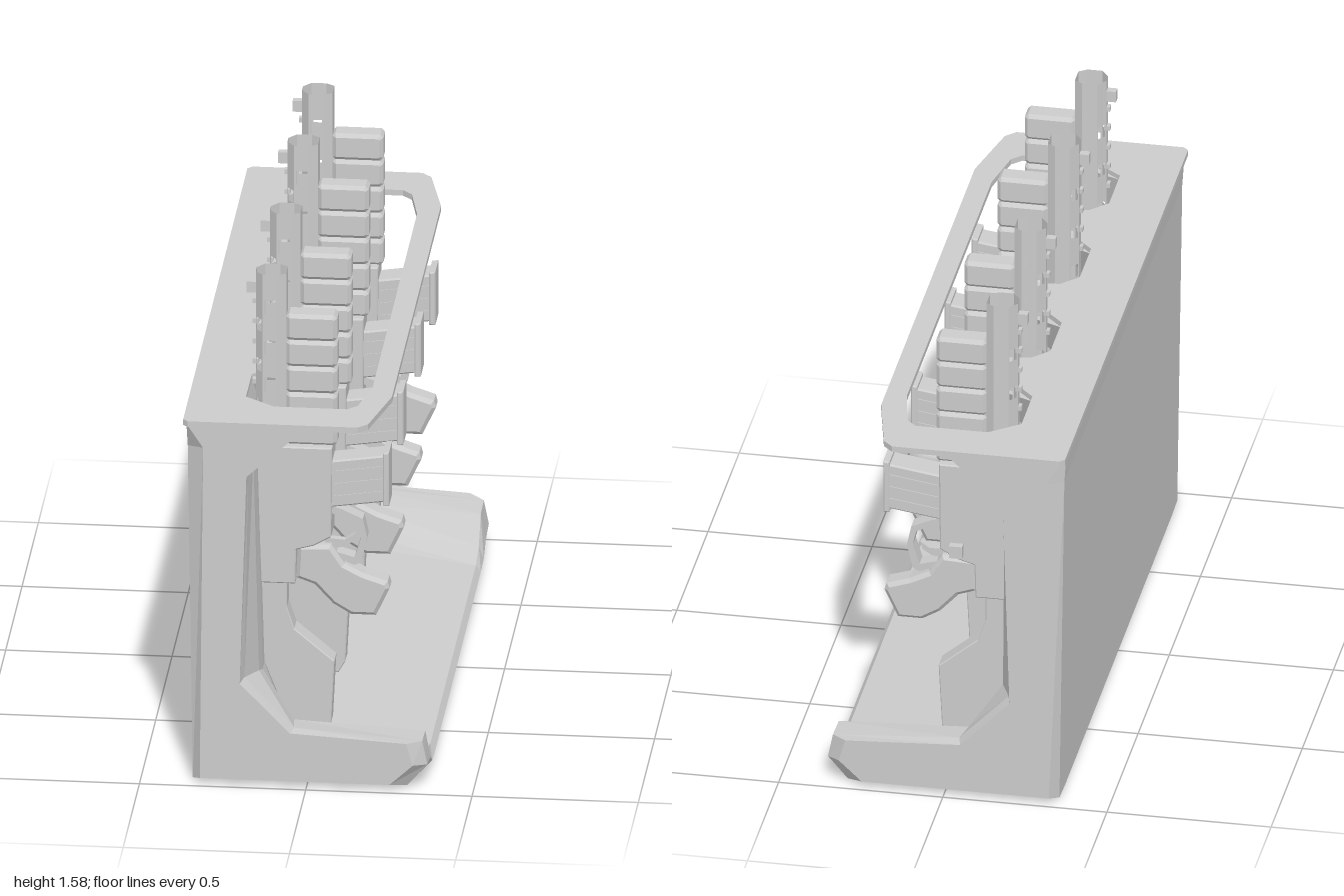
import * as THREE from 'three';
import { ConvexGeometry } from 'three/addons/geometries/ConvexGeometry.js';

const material = new THREE.MeshStandardMaterial({ color: 0xcccccc, flatShading: true });
const thin = new THREE.MeshStandardMaterial({ color: 0xcccccc, flatShading: true, side: THREE.DoubleSide });

function part(parent, name, geometry, mat = material) {
  const mesh = new THREE.Mesh(geometry, mat);
  mesh.name = name;
  parent.add(mesh);
}

const outline = (pts) => new THREE.Shape(pts.map(([x, y]) => new THREE.Vector2(x, y)));

// side profile in x,y given a thickness along z, with chamfered edges
function slab(pts, half, bevel = 0.008) {
  const g = new THREE.ExtrudeGeometry(outline(pts), {
    depth: 2 * (half - bevel), bevelEnabled: bevel > 0, bevelThickness: bevel,
    bevelSize: bevel, bevelOffset: -bevel, bevelSegments: 1,
  });
  return g.translate(0, 0, -(half - bevel));
}

function box(x0, x1, y0, y1, z0, z1) {
  return new THREE.BoxGeometry(x1 - x0, y1 - y0, z1 - z0)
    .translate((x0 + x1) / 2, (y0 + y1) / 2, (z0 + z1) / 2);
}

// skin between cross-sections { z, pts } running from +z to -z
function loft(sections) {
  const pos = [];
  const n = sections[0].pts.length;
  const put = (s, j) => pos.push(...s.pts[j % n], s.z);
  for (let i = 0; i < sections.length - 1; i++) {
    const s = sections[i], t = sections[i + 1];
    for (let j = 0; j < n; j++) {
      put(s, j); put(t, j); put(t, j + 1);
      put(s, j); put(t, j + 1); put(s, j + 1);
    }
  }
  const first = sections[0], last = sections[sections.length - 1];
  const faces = THREE.ShapeUtils.triangulateShape(first.pts.map(([x, y]) => new THREE.Vector2(x, y)), []);
  for (const [a, b, c] of faces) {
    put(first, a); put(first, b); put(first, c);
    put(last, c); put(last, b); put(last, a);
  }
  const g = new THREE.BufferGeometry();
  g.setAttribute('position', new THREE.Float32BufferAttribute(pos, 3));
  g.computeVertexNormals();
  return g;
}

function buildRack() {
  const rack = new THREE.Group();
  rack.name = 'rack';

  // body: side cheek, raised foot, then the open middle
  const half = [
    { z: 0.985, pts: [[-0.32, 0.02], [0.25, 0.02], [0.32, 0.085], [0.3, 0.155], [-0.05, 0.175],
      [-0.2, 0.33], [-0.18, 1.0], [0, 1.165], [-0.36, 1.165], [-0.31, 1.09]] },
    { z: 0.945, pts: [[-0.345, 0.005], [0.3, 0.005], [0.36, 0.075], [0.345, 0.15], [-0.04, 0.178],
      [-0.19, 0.335], [-0.178, 1.0], [0, 1.165], [-0.365, 1.165], [-0.36, 1.08]] },
    { z: 0.85, pts: [[-0.345, 0], [0.32, 0], [0.36, 0.06], [0.345, 0.145], [-0.05, 0.165],
      [-0.155, 0.32], [-0.172, 1.01], [-0.06, 1.165], [-0.365, 1.165], [-0.36, 1.08]] },
    { z: 0.79, pts: [[-0.345, 0], [0.32, 0], [0.36, 0.025], [0.345, 0.065], [-0.09, 0.11],
      [-0.15, 0.3], [-0.17, 1.02], [-0.2, 1.165], [-0.365, 1.165], [-0.36, 1.08]] },
    { z: 0.7, pts: [[-0.345, 0], [0.32, 0], [0.36, 0.02], [0.345, 0.04], [-0.1, 0.1],
      [-0.15, 0.3], [-0.17, 1.02], [-0.2, 1.165], [-0.365, 1.165], [-0.36, 1.08]] },
  ];
  const mirrored = half.map(({ z, pts }) => ({ z: -z, pts })).reverse();
  part(rack, 'rackBody', loft([...half, ...mirrored]));

  // top plate with a long opening, notched between the slots
  const plate = outline([[-0.37, -0.985], [-0.355, -1], [0.155, -1], [0.185, -0.97], [0.235, -0.75],
    [0.235, 0.75], [0.185, 0.97], [0.155, 1], [-0.355, 1], [-0.37, 0.985]]);
  const teeth = [-0.47, 0, 0.47];
  const tooth = [[-0.2, -0.145], [-0.15, -0.092], [-0.05, -0.08], [-0.03, -0.06],
    [-0.03, 0.06], [-0.05, 0.08], [-0.15, 0.092], [-0.2, 0.145]];
  const opening = [[-0.11, 0.86], [0.11, 0.86], [0.14, 0.83], [0.17, 0.68],
    [0.17, -0.68], [0.14, -0.83], [0.11, -0.86], [-0.11, -0.86], [-0.2, -0.79]];
  for (const c of teeth) for (const [x, y] of tooth) opening.push([x, y + c]);
  opening.push([-0.2, 0.79]);
  plate.holes.push(new THREE.Path(opening.map(([x, y]) => new THREE.Vector2(x, y))));
  part(rack, 'topPlate', new THREE.ExtrudeGeometry(plate, { depth: 0.018, bevelEnabled: false })
    .rotateX(-Math.PI / 2).translate(0, 1.162, 0));

  // tapered brackets below the teeth
  for (const c of teeth) {
    const pts = tooth.map(([x, z]) => new THREE.Vector3(x, 1.163, z + c));
    for (const s of [-1, 1]) {
      pts.push(new THREE.Vector3(-0.2, 1.02, c + s * 0.07), new THREE.Vector3(-0.168, 1.02, c + s * 0.06));
    }
    part(rack, 'bracket', new ConvexGeometry(pts));
  }
  return rack;
}

// flat barrel facet between two corners, optionally pierced by windows
function facet([x0, z0], [x1, z1], y0, y1, windows) {
  const w = Math.hypot(x1 - x0, z1 - z0);
  const shape = outline([[0, y0], [w, y0], [w, y1], [0, y1]]);
  for (const [a, b] of windows) {
    const path = [[0.12, a], [0.12, b], [0.88, b], [0.88, a]];
    shape.holes.push(new THREE.Path(path.map(([u, y]) => new THREE.Vector2(u * w, y))));
  }
  return new THREE.ShapeGeometry(shape).rotateY(-Math.atan2(z1 - z0, x1 - x0)).translate(x0, 0, z0);
}

function buildRifle() {
  const rifle = new THREE.Group();
  rifle.name = 'rifle';

  // hollow eight-sided barrel shroud with staggered windows
  const ring = [[-0.178, 0.015], [-0.155, 0.045], [-0.11, 0.045], [-0.085, 0.028],
    [-0.085, -0.028], [-0.11, -0.045], [-0.155, -0.045], [-0.178, -0.015]];
  const wide = [[1.18, 1.225], [1.3, 1.345], [1.43, 1.475]];
  const offset = [[1.11, 1.15], [1.24, 1.28], [1.37, 1.41]];
  ring.forEach((p, i) => {
    const windows = i === 1 || i === 5 ? wide : i === 0 || i === 6 ? offset : [];
    part(rifle, 'barrelShroud', facet(p, ring[(i + 1) % 8], 0.98, 1.557, windows), thin);
  });
  part(rifle, 'frontSight', box(-0.207, -0.165, 1.485, 1.52, -0.012, 0.012));
  for (let y = 1.19; y < 1.45; y += 0.065) {
    part(rifle, 'railStud', box(-0.188, -0.17, y, y + 0.015, -0.01, 0.01));
  }

  // ribbed foregrip
  for (let i = 0; i < 5; i++) {
    const y0 = 1.005 + i * 0.0845, y1 = y0 + 0.084;
    part(rifle, 'foregripSegment', slab([[-0.085, y0 + 0.008], [-0.077, y0], [0.058, y0], [0.068, y0 + 0.01],
      [0.068, y1 - 0.01], [0.058, y1], [-0.077, y1], [-0.085, y1 - 0.008]], 0.037, 0.011));
  }
  part(rifle, 'foregripCore', box(-0.09, 0.05, 1.0, 1.41, -0.025, 0.025));

  // receiver
  part(rifle, 'receiver', slab([[-0.16, 0.565], [-0.056, 0.565], [-0.053, 0.675], [0.0, 0.69], [0.052, 0.72],
    [0.055, 1.008], [-0.176, 1.008]], 0.057, 0.004));
  part(rifle, 'chargingHandle', box(-0.02, 0.02, 0.705, 0.745, -0.08, -0.04));

  // magazine with ribs and end plate
  part(rifle, 'magazine', slab([[0.04, 0.81], [0.215, 0.835], [0.215, 0.985], [0.04, 0.96]], 0.043, 0.005));
  part(rifle, 'magazineEnd', slab([[0.207, 0.825], [0.226, 0.825], [0.226, 0.998], [0.207, 0.995]], 0.05, 0.004));
  for (const y of [0.86, 0.9, 0.94]) {
    part(rifle, 'magazineRib', slab([[0.06, y - 0.016], [0.21, y + 0.006], [0.21, y + 0.012], [0.06, y - 0.01]], 0.046, 0));
  }

  // trigger and its guard
  part(rifle, 'triggerGuard', slab([[0.045, 0.81], [0.08, 0.8], [0.145, 0.77], [0.158, 0.71], [0.14, 0.63],
    [0.12, 0.62], [0.05, 0.65], [0.05, 0.665], [0.12, 0.645], [0.14, 0.71], [0.13, 0.755],
    [0.08, 0.78], [0.045, 0.785]], 0.025, 0));
  part(rifle, 'trigger', slab([[0.03, 0.665], [0.085, 0.672], [0.113, 0.69], [0.12, 0.715],
    [0.09, 0.695], [0.03, 0.7]], 0.012, 0));

  // pistol grip
  part(rifle, 'grip', slab([[-0.056, 0.575], [0.0, 0.555], [0.055, 0.495], [0.11, 0.462], [0.185, 0.462],
    [0.226, 0.55], [0.22, 0.572], [0.15, 0.595], [0.09, 0.625], [0.05, 0.685], [-0.05, 0.68]], 0.038, 0.012));

  // shoulder stock resting on the floor
  part(rifle, 'stock', slab([[-0.16, 0.32], [-0.09, 0.14], [-0.03, 0.075], [0.03, 0.075], [0.05, 0.11], [0.06, 0.31],
    [-0.06, 0.41], [-0.083, 0.48], [-0.083, 0.58], [-0.16, 0.58]], 0.034, 0.003));
  return rifle;
}

export function createModel() {
  const model = new THREE.Group();
  model.name = 'rifleRack';
  model.add(buildRack());
  for (const [z, y] of [[0.7, 0], [0.265, 0.018], [-0.27, 0.018], [-0.718, 0]]) {
    const rifle = buildRifle();
    rifle.position.set(0, y, z);
    model.add(rifle);
  }
  return model;
}
